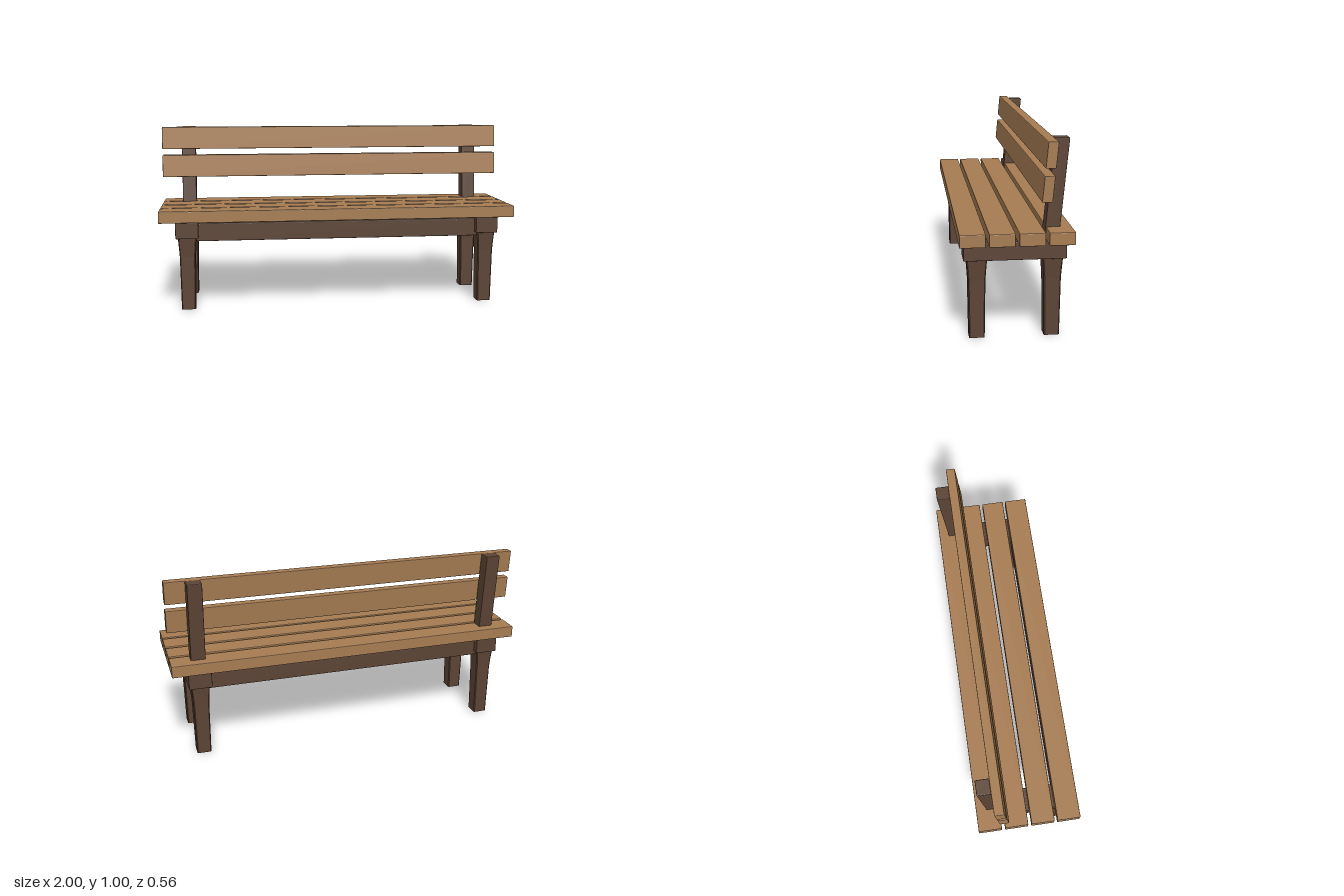
import * as THREE from 'three';
import { RoundedBoxGeometry } from 'three/addons/geometries/RoundedBoxGeometry.js';

const LEAN = -0.094; // backward slope of the backrest

// Box with narrow chamfered edges and flat faces
function chamferedBox(w, h, d, r = 0.004) {
  const g = new RoundedBoxGeometry(w, h, d, 1, r);
  g.clearGroups();
  g.computeVertexNormals();
  return g;
}

// Chamfered box sheared backwards as it rises, keeping its top level
function leaningBox(w, h, d) {
  const g = chamferedBox(w, h, d);
  g.applyMatrix4(new THREE.Matrix4().set(
    1, 0, 0, 0,
    0, 1, 0, 0,
    0, LEAN, 1, 0,
    0, 0, 0, 1));
  g.computeVertexNormals();
  return g;
}

// Square leg with chamfered corners, lofted through [height, half width] sections
function legGeometry(sections) {
  const c = 0.005, pos = [], index = [], n = 8;
  for (const [y, r] of sections) {
    const i = r - c;
    const ring = [[r, -i], [r, i], [i, r], [-i, r], [-r, i], [-r, -i], [-i, -r], [i, -r]];
    for (const [x, z] of ring) pos.push(x, y, z);
  }
  for (let s = 0; s < sections.length - 1; s++) {
    for (let k = 0; k < n; k++) {
      const a = s * n + k, b = s * n + (k + 1) % n;
      index.push(a, a + n, b, b, a + n, b + n);
    }
  }
  const top = (sections.length - 1) * n;
  for (let k = 1; k < n - 1; k++) {
    index.push(0, k, k + 1);
    index.push(top, top + k + 1, top + k);
  }
  const g = new THREE.BufferGeometry();
  g.setAttribute('position', new THREE.Float32BufferAttribute(pos, 3));
  g.setIndex(index);
  const flat = g.toNonIndexed();
  flat.computeVertexNormals();
  return flat;
}

export function createModel() {
  const bench = new THREE.Group();
  bench.name = 'bench';
  const lightWood = new THREE.MeshStandardMaterial({ color: 0xa67c52 });
  lightWood.name = 'light wood';
  const darkWood = new THREE.MeshStandardMaterial({ color: 0x5c4435 });
  darkWood.name = 'dark wood';

  const add = (name, geometry, material, x, y, z) => {
    const mesh = new THREE.Mesh(geometry, material);
    mesh.name = name;
    mesh.position.set(x, y, z);
    bench.add(mesh);
  };

  // Four seat slats
  const seatSlat = chamferedBox(2, 0.065, 0.127);
  for (const z of [0.2165, 0.0735, -0.0715, -0.2165]) {
    add('seatSlat', seatSlat, lightWood, 0, 0.53, z);
  }

  // Two leaning backrest slats
  const backSlat = leaningBox(2, 0.127, 0.051);
  add('upperBackSlat', backSlat, lightWood, 0, 0.9365, -0.16);
  add('lowerBackSlat', backSlat, lightWood, 0, 0.7735, -0.145);

  // Rails under the seat, running between the end beams
  const rail = chamferedBox(1.6, 0.1, 0.06);
  add('frontRail', rail, darkWood, 0, 0.435, 0.188);
  add('backRail', rail, darkWood, 0, 0.435, -0.188);

  // End frames: beam, leaning post and two flared legs on each side
  const beam = chamferedBox(0.126, 0.092, 0.51);
  const post = leaningBox(0.08, 0.5, 0.074);
  const leg = legGeometry([[0, 0.039], [0.3, 0.043], [0.36, 0.047], [0.41, 0.051]]);
  for (const [side, x] of [['left', 0.849], ['right', -0.849]]) {
    add(side + 'EndBeam', beam, darkWood, x, 0.451, 0);
    add(side + 'BackPost', post, darkWood, x, 0.75, -0.204);
    add(side + 'FrontLeg', leg, darkWood, x, 0, 0.188);
    add(side + 'BackLeg', leg, darkWood, x, 0, -0.188);
  }
  return bench;
}
